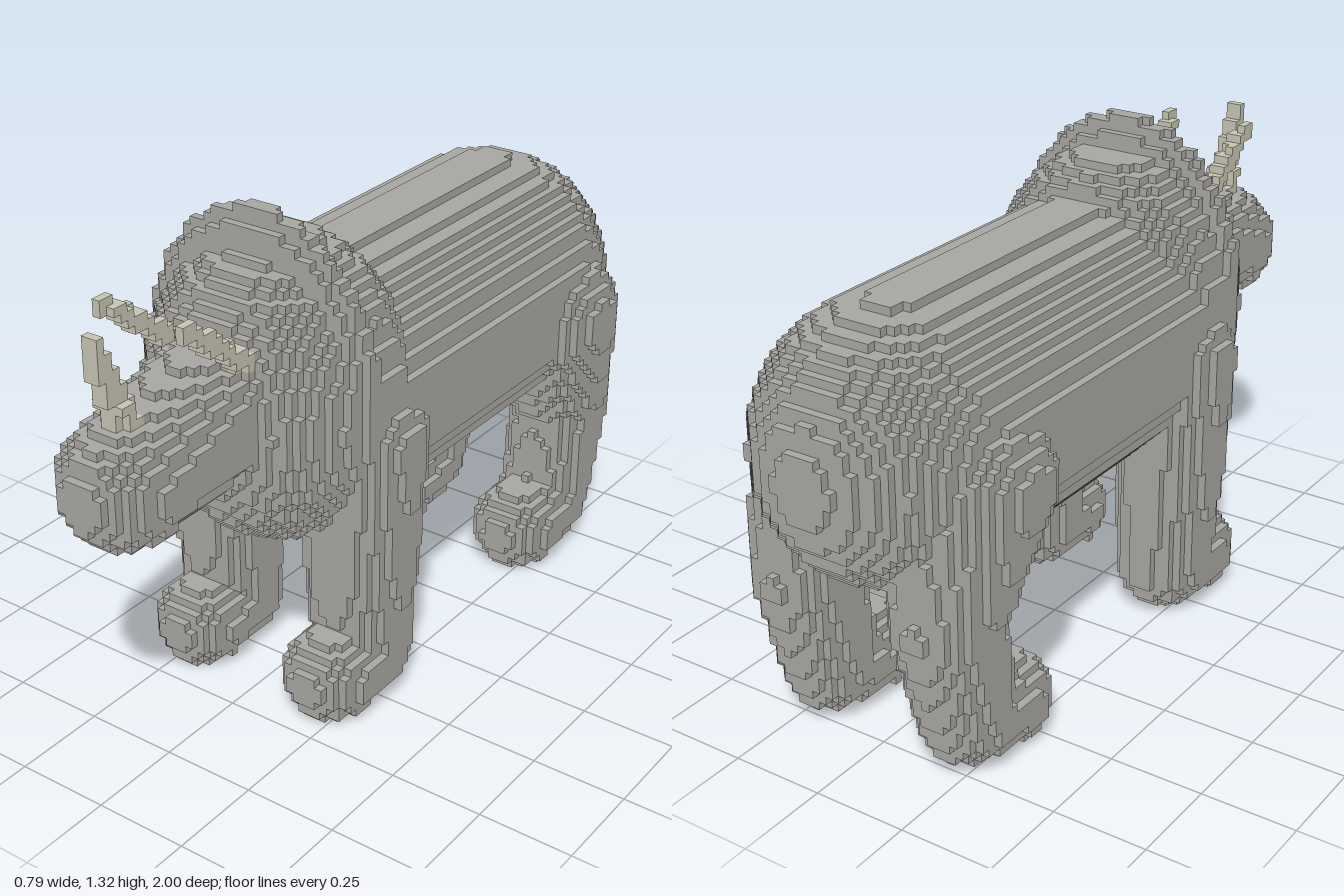
import * as THREE from 'three';

const S = 2 / 91; // cube size
const NX = 20, NY = 62, NZ = 47; // half counts in x and z, full count in y

// Rounded solids, each returning a test for whether a point lies inside
const ellipsoid = (c, r, backRz = r[2]) => (x, y, z) => {
  const rz = z < c[2] ? backRz : r[2];
  return ((x - c[0]) / r[0]) ** 2 + ((y - c[1]) / r[1]) ** 2 + ((z - c[2]) / rz) ** 2 <= 1;
};

const limb = (a, ra, b, rb) => {
  const d = [b[0] - a[0], b[1] - a[1], b[2] - a[2]];
  const len2 = d[0] ** 2 + d[1] ** 2 + d[2] ** 2;
  return (x, y, z) => {
    const p = [x - a[0], y - a[1], z - a[2]];
    const dot = p[0] * d[0] + p[1] * d[1] + p[2] * d[2];
    const t = Math.min(1, Math.max(0, dot / len2));
    const r = ra + (rb - ra) * t;
    return (p[0] - d[0] * t) ** 2 + (p[1] - d[1] * t) ** 2 + (p[2] - d[2] * t) ** 2 <= r * r;
  };
};

// Chain of tapered limbs through points [x, y, z, radius]
const chain = (pts) => pts.slice(1).map((p, i) =>
  limb(pts[i].slice(0, 3), pts[i][3], p.slice(0, 3), p[3]));

// Restrict mirrored solids to one side
const onSide = (solids, side) => solids.map((f) => (x, y, z) => x * side > 0 && f(x * side, y, z));

export function createModel() {
  const hide = new THREE.MeshStandardMaterial({ color: 0xaaa8a3 });
  hide.name = 'greyHide';
  const horn = new THREE.MeshStandardMaterial({ color: 0xc8c6b4 });
  horn.name = 'paleHorn';

  const frontLeg = chain([
    [0.235, 0.74, 0.235, 0.14], [0.215, 0.42, 0.235, 0.137],
    [0.21, 0.12, 0.222, 0.117], [0.21, 0.105, 0.358, 0.115],
  ]);
  const hindLeg = chain([
    [0.2, 0.73, -0.65, 0.2], [0.21, 0.42, -0.755, 0.128],
    [0.21, 0.13, -0.69, 0.114], [0.21, 0.105, -0.545, 0.115],
  ]);
  const browHorn = chain([[0.1, 1.03, 0.55, 0.025], [0.12, 1.2, 0.77, 0.019]]);

  const parts = [
    // Horns
    { name: 'noseHorn', mat: horn, solids: chain([[0, 0.95, 0.84, 0.04], [0, 1.02, 0.865, 0.036], [0, 1.19, 0.93, 0.018]]) },
    { name: 'leftBrowHorn', mat: horn, solids: onSide(browHorn, 1) },
    { name: 'rightBrowHorn', mat: horn, solids: onSide(browHorn, -1) },
    // Trunk: long barrel with a rounded rump
    {
      name: 'body', mat: hide, solids: [
        (x, y, z) => z >= -0.65 && z <= 0.3 && (x / 0.333) ** 2 + ((y - 0.791) / 0.347) ** 2 <= 1,
        ellipsoid([0, 0.791, -0.65], [0.333, 0.347, 0.35]),
      ],
    },
    // Shoulder hump and the thin neck frill standing out of it
    { name: 'shoulders', mat: hide, solids: [ellipsoid([0, 0.84, 0.26], [0.333, 0.4, 0.35], 0.24)] },
    { name: 'frill', mat: hide, solids: [ellipsoid([0, 0.88, 0.342], [0.34, 0.438, 0.08])] },
    { name: 'head', mat: hide, solids: chain([[0, 0.88, 0.55, 0.165], [0, 0.82, 0.855, 0.149]]) },
    // Legs
    { name: 'leftFrontLeg', mat: hide, solids: onSide(frontLeg, 1) },
    { name: 'rightFrontLeg', mat: hide, solids: onSide(frontLeg, -1) },
    { name: 'leftHindLeg', mat: hide, solids: onSide(hindLeg, 1) },
    { name: 'rightHindLeg', mat: hide, solids: onSide(hindLeg, -1) },
  ];

  // Fill the grid: each cube belongs to the last part that contains it,
  // so hide covers the roots of the horns
  const WX = 2 * NX, WZ = 2 * NZ + 1;
  const grid = new Uint8Array(WX * NY * WZ);
  const index = (i, j, k) => (j * WZ + k + NZ) * WX + i + NX;
  const owner = (i, j, k) =>
    i < -NX || i >= NX || j < 0 || j >= NY || k < -NZ || k > NZ ? 0 : grid[index(i, j, k)];
  const eachCell = (fn) => {
    for (let j = 0; j < NY; j++)
      for (let k = -NZ; k <= NZ; k++)
        for (let i = -NX; i < NX; i++) fn(i, j, k);
  };
  eachCell((i, j, k) => {
    const x = (i + 0.5) * S, y = (j + 0.5) * S, z = k * S;
    parts.forEach((part, n) => {
      if (part.solids.some((f) => f(x, y, z))) grid[index(i, j, k)] = n + 1;
    });
  });

  // Collect the exposed cube faces of every part
  const buffers = parts.map(() => ({ pos: [], nor: [] }));
  const corners = [[-1, -1], [1, -1], [1, 1], [-1, -1], [1, 1], [-1, 1]];
  eachCell((i, j, k) => {
    const n = owner(i, j, k);
    if (!n) return;
    const { pos, nor } = buffers[n - 1];
    const c = [(i + 0.5) * S, (j + 0.5) * S, k * S];
    for (let axis = 0; axis < 3; axis++) {
      for (const dir of [-1, 1]) {
        const normal = [0, 0, 0];
        normal[axis] = dir;
        if (owner(i + normal[0], j + normal[1], k + normal[2])) continue;
        const u = (axis + 1) % 3, v = (axis + 2) % 3;
        for (const [a, b] of corners) {
          const p = [...c];
          p[axis] += dir * S / 2;
          p[u] += a * dir * S / 2;
          p[v] += b * S / 2;
          pos.push(...p);
          nor.push(...normal);
        }
      }
    }
  });

  const model = new THREE.Group();
  model.name = 'hornedAnimal';
  parts.forEach((part, n) => {
    if (!buffers[n].pos.length) return;
    const geo = new THREE.BufferGeometry();
    geo.setAttribute('position', new THREE.Float32BufferAttribute(buffers[n].pos, 3));
    geo.setAttribute('normal', new THREE.Float32BufferAttribute(buffers[n].nor, 3));
    const mesh = new THREE.Mesh(geo, part.mat);
    mesh.name = part.name;
    model.add(mesh);
  });
  return model;
}
